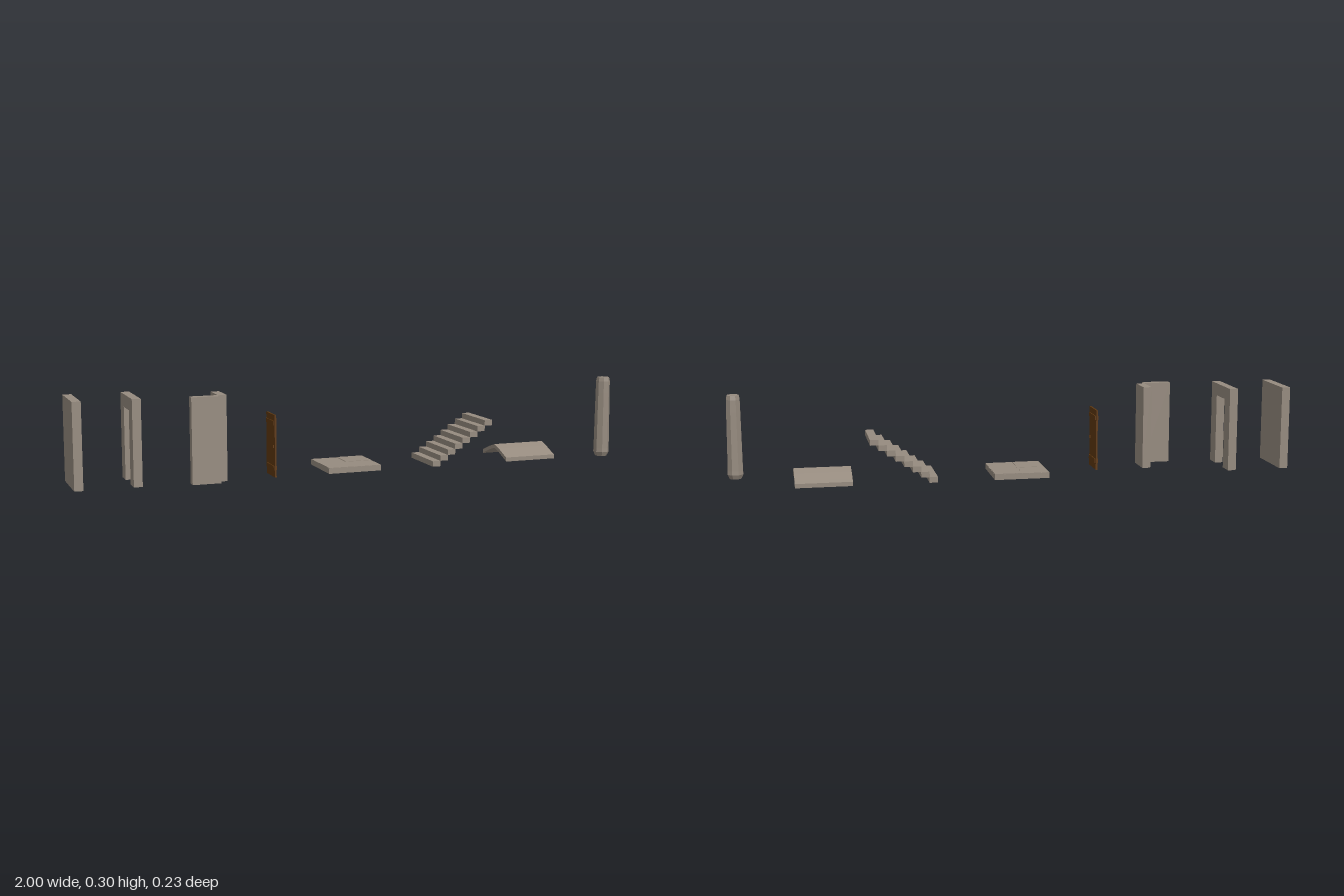
import * as THREE from 'three';

export function createModel() {
  const stone = new THREE.MeshStandardMaterial({ color: 0x968b7f });
  stone.name = 'stone';
  const wood = new THREE.MeshStandardMaterial({ color: 0x5f380f });
  wood.name = 'wood';

  const model = new THREE.Group();
  model.name = 'buildingKit';
  const Z0 = -0.1125, Z1 = 0.0835, ZC = (Z0 + Z1) / 2;

  const group = (name) => {
    const g = new THREE.Group();
    g.name = name;
    model.add(g);
    return g;
  };
  // box from its minimum and maximum corners
  const box = (parent, name, mat, x0, x1, y0, y1, z0, z1) => {
    const m = new THREE.Mesh(new THREE.BoxGeometry(x1 - x0, y1 - y0, z1 - z0), mat);
    m.position.set((x0 + x1) / 2, (y0 + y1) / 2, (z0 + z1) / 2);
    m.name = name;
    parent.add(m);
    return m;
  };
  // extrude a (z, y) outline along x
  const extrudeX = (parent, name, points, x0, x1) => {
    const shape = new THREE.Shape(points.map(([z, y]) => new THREE.Vector2(-z, y)));
    const geo = new THREE.ExtrudeGeometry(shape, { depth: x1 - x0, bevelEnabled: false });
    geo.rotateY(Math.PI / 2);
    geo.translate(x0, 0, 0);
    const m = new THREE.Mesh(geo, stone);
    m.name = name;
    parent.add(m);
  };

  // plain wall
  box(model, 'wall', stone, -1, -0.97, 0, 0.297, Z0, Z1);

  // wall with a door opening
  const a = ZC - 0.043, b = ZC + 0.043;
  extrudeX(model, 'doorwayWall', [
    [Z0, 0], [a, 0], [a, 0.253], [b, 0.253], [b, 0], [Z1, 0], [Z1, 0.297], [Z0, 0.297],
  ], -0.803, -0.773);

  // corner wall: two legs meeting along an edge
  const corner = group('cornerWall');
  box(corner, 'cornerFrontLeg', stone, -0.61, -0.511, 0, 0.297, Z1, 0.113);
  box(corner, 'cornerSideLeg', stone, -0.511, -0.481, 0, 0.297, ZC, Z1);

  // plank door with cross rails and a knob on each face
  const door = group('door');
  const dx = -0.309;
  for (let i = 0; i < 4; i++) {
    const w = (Z1 - ZC) / 4;
    box(door, 'doorPlank', wood, dx - 0.003, dx + 0.003, 0, 0.218, ZC + i * w, ZC + (i + 1) * w);
  }
  for (const y of [0.025, 0.182]) {
    box(door, 'doorRail', wood, dx - 0.006, dx + 0.006, y, y + 0.015, ZC + 0.005, Z1 - 0.005);
  }
  box(door, 'doorKnob', wood, dx - 0.006, dx + 0.006, 0.103, 0.112, Z1 - 0.016, Z1 - 0.009);

  // floor slab with four slightly uneven paving tiles
  const floor = group('floor');
  const fx = -0.016, h = 0.098;
  box(floor, 'floorSlab', stone, fx - h, fx + h, 0, 0.0195, Z0, Z1);
  [[-1, -1, 0.0205], [1, -1, 0.0215], [-1, 1, 0.021], [1, 1, 0.0205]].forEach(([sx, sz, top]) => {
    const cx = fx + sx * h / 2, cz = ZC + sz * h / 2, r = h / 2 - 0.0006;
    box(floor, 'floorTile', stone, cx - r, cx + r, 0.019, top, cz - r, cz + r);
  });

  // open flight of eight steps
  const stairs = group('stairs');
  for (let i = 0; i < 8; i++) {
    const x = 0.282 + i * 0.0292;
    box(stairs, 'step', stone, x, x + 0.0296, i * 0.0198, (i + 1) * 0.0198, Z0, Z1);
  }

  // shallow roof, outline mirrored about the ridge
  const upper = [[0.098, 0.015], [0.08, 0.0215], [0.037, 0.0385]];
  const lower = [[0.098, 0], [0.08, 0.008], [0.037, 0.025]];
  const flip = (pts) => pts.map(([z, y]) => [-z, y]).reverse();
  const outline = [
    ...upper, [0, 0.05], ...flip(upper), ...lower.map(([z, y]) => [-z, y]), [0, 0.036], ...lower.slice().reverse(),
  ].map(([z, y]) => [ZC + z, y]);
  extrudeX(model, 'roof', outline, 0.576, 0.774);

  // eight-sided tapering pillar
  const profile = [[0, 0], [0.0215, 0], [0.0292, 0.016], [0.0285, 0.03], [0.0262, 0.24], [0.0255, 0.282], [0.0225, 0.297], [0, 0.297]];
  const pillarGeo = new THREE.LatheGeometry(profile.map(([r, y]) => new THREE.Vector2(r, y)), 8, Math.PI / 8).toNonIndexed();
  pillarGeo.computeVertexNormals();
  const pillar = new THREE.Mesh(pillarGeo, stone);
  pillar.name = 'pillar';
  pillar.position.set(0.973, 0, 0.0855);
  model.add(pillar);

  return model;
}
